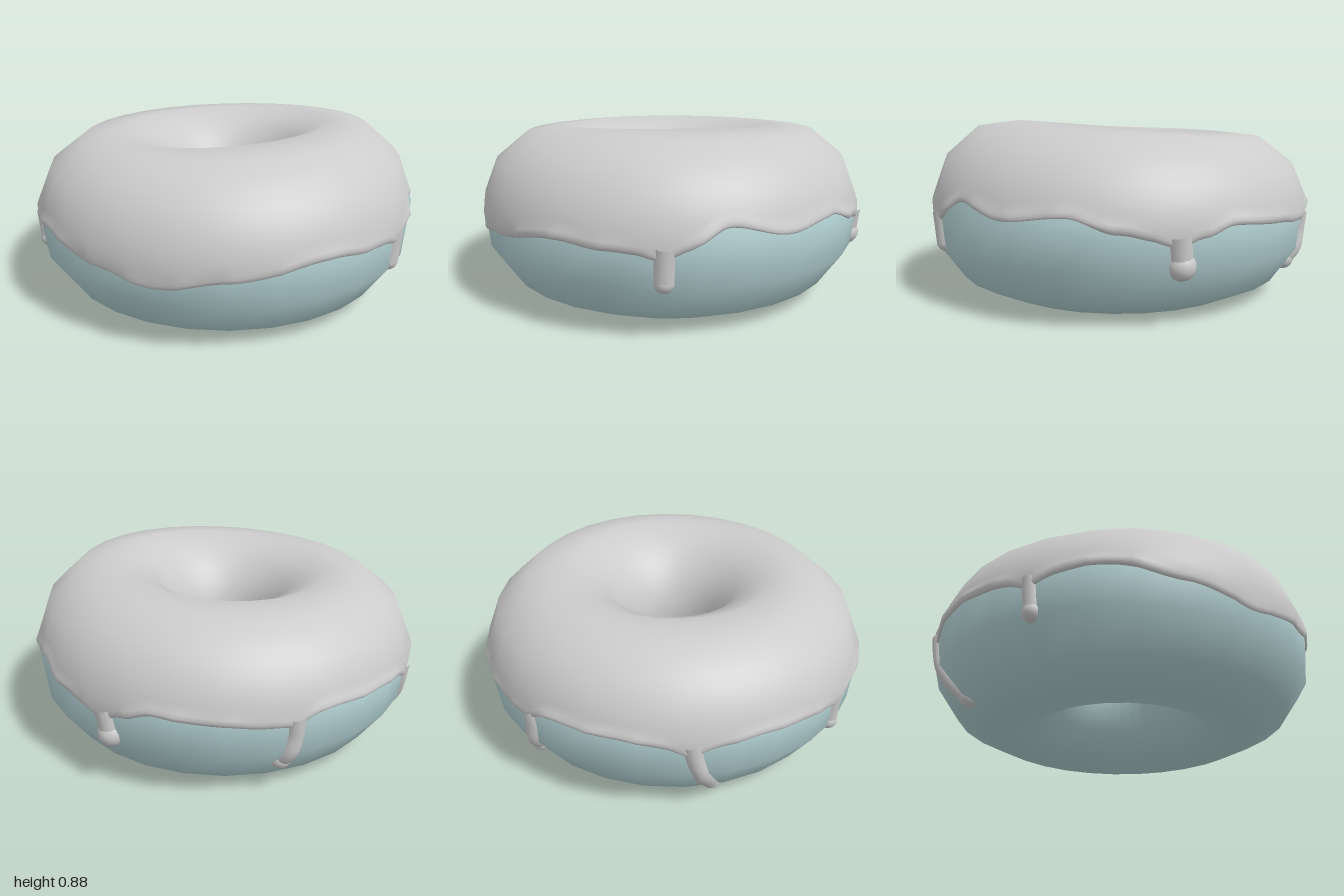
import * as THREE from 'three';

const DEG = Math.PI / 180;
const SIDES = 28, RINGS = 12, PHASE = 9; // dough facets: around the ring, around the section
const RING = 0.608, TUBE = 0.386, MID = 0.4, TALL = 0.405;

const doughMat = new THREE.MeshStandardMaterial({ color: 0xb4d2d4 });
const icingMat = new THREE.MeshStandardMaterial({ color: 0xcccccc });

// Angles in degrees: a runs round the ring from +x towards -z,
// p runs round the section (0 outside, 90 top, 180 hole, 270 bottom).
function corner(a, p) {
  const swell = 0.07 * Math.pow((1 + Math.cos((a + 67) * DEG)) / 2, 1.5);
  const s = Math.sin(p * DEG);
  const r = RING + TUBE * Math.cos(p * DEG);
  return new THREE.Vector3(
    r * Math.cos(a * DEG),
    MID + TALL * s + swell * Math.max(0, s),
    -r * Math.sin(a * DEG)
  );
}

function outward(a, p) {
  const c = Math.cos(p * DEG);
  return new THREE.Vector3(c * Math.cos(a * DEG), Math.sin(p * DEG), -c * Math.sin(a * DEG));
}

// Point on the faceted dough, lifted by a given distance
function onDough(a, p, lift = 0) {
  const da = 360 / SIDES, dp = 360 / RINGS;
  const i = Math.floor(a / da + 1e-6), j = Math.floor((p - PHASE) / dp + 1e-6);
  const u = a / da - i, v = (p - PHASE) / dp - j;
  const at = (m, n) => corner((i + m) * da, PHASE + (j + n) * dp);
  const low = at(0, 0).lerp(at(1, 0), u);
  const high = at(0, 1).lerp(at(1, 1), u);
  return low.lerp(high, v).addScaledVector(outward(a, p), lift);
}

// Band closed around the ring; section(a) lists [p, lift, useRoundNormal]
function ringSurface(columns, section, closed) {
  const pos = [], idx = [], round = [];
  let rows = 0;
  for (let i = 0; i < columns; i++) {
    const a = (i * 360) / columns;
    const list = section(a);
    rows = list.length;
    for (const [p, lift, smooth] of list) {
      pos.push(...onDough(a, p, lift).toArray());
      round.push(smooth ? outward(a, p) : null);
    }
  }
  for (let i = 0; i < columns; i++) {
    const k = (i + 1) % columns;
    for (let j = 0; j < (closed ? rows : rows - 1); j++) {
      const n = (j + 1) % rows;
      const A = i * rows + j, B = k * rows + j, C = k * rows + n, D = i * rows + n;
      idx.push(A, B, C, A, C, D);
    }
  }
  const geo = new THREE.BufferGeometry();
  geo.setAttribute('position', new THREE.Float32BufferAttribute(pos, 3));
  geo.setIndex(idx);
  geo.computeVertexNormals();
  round.forEach((n, i) => n && geo.attributes.normal.setXYZ(i, n.x, n.y, n.z));
  return geo;
}

// Height of the icing's wavy lower edge: [angle, y]
const EDGE = [
  [0, 0.4], [12, 0.41], [20, 0.45], [37, 0.43], [48, 0.41], [66, 0.46], [85, 0.45],
  [104, 0.41], [125, 0.44], [152, 0.41], [172, 0.44], [194, 0.38], [212, 0.33],
  [232, 0.38], [258, 0.44], [270, 0.42], [282, 0.41], [291, 0.43], [303, 0.51],
  [319, 0.46], [337, 0.49], [350, 0.43], [360, 0.4],
];

// Drips: path of [angle, y] down the side, stem radius and bulb radius
const DRIPS = [
  { path: [[5, 0.42], [5.5, 0.35], [6, 0.28]], stem: 0.055, bulb: 0.066 },
  { path: [[57, 0.44], [57, 0.34], [56, 0.25], [54.5, 0.18]], stem: 0.045, bulb: 0.052 },
  { path: [[104, 0.44], [105, 0.34], [107, 0.23], [109.5, 0.13], [112, 0.07]], stem: 0.045, bulb: 0.05 },
  { path: [[152, 0.43], [152.3, 0.34], [152.5, 0.26]], stem: 0.042, bulb: 0.047 },
  { path: [[286.5, 0.44], [286.3, 0.36], [286.2, 0.28]], stem: 0.05, bulb: 0.05 },
];

const heightToAngle = (y) => Math.asin((y - MID) / TALL) / DEG;

function edgeAngle(a) {
  const k = EDGE.findIndex((e, i) => i > 0 && a <= e[0]);
  const [a0, y0] = EDGE[k - 1], [a1, y1] = EDGE[k];
  let y = y0 + (y1 - y0) * THREE.MathUtils.smoothstep(a, a0, a1);
  // flare into the drips
  for (const d of DRIPS) y -= 0.035 * Math.exp(-(((a - d.path[0][0]) / 4) ** 2));
  return heightToAngle(y);
}

// Icing section: rounded lip, outer wall, crown, then down into the hole
function icingSection(a) {
  const e = edgeAngle(a);
  const rows = [[e + 0.5, -0.02], [e - 0.5, 0.002], [e + 0.5, 0.009], [e + 2.5, 0.012], [e + 5, 0.01]];
  for (let i = 1; i <= 5; i++) rows.push([e + 5 + ((39 - e - 5) * i) / 5, 0.008, true]);
  for (let p = 49; p <= 189; p += 10) rows.push([p, 0.008, true]);
  rows.push([191, 0.006], [191.5, -0.01]);
  return rows;
}

function drip({ path, stem, bulb }) {
  const group = new THREE.Group();
  group.name = 'icingDrip';
  const points = path.map(([a, y]) => onDough(a, heightToAngle(y), -0.022));
  const run = new THREE.Mesh(
    new THREE.TubeGeometry(new THREE.CatmullRomCurve3(points), 16, stem, 14), icingMat);
  run.name = 'dripStem';
  const tip = new THREE.Mesh(new THREE.SphereGeometry(bulb, 18, 12), icingMat);
  tip.name = 'dripTip';
  tip.position.copy(points[points.length - 1]);
  group.add(run, tip);
  return group;
}

export function createModel() {
  const model = new THREE.Group();
  model.name = 'icedDoughnut';

  // Ring of dough
  const doughRows = Array.from({ length: RINGS }, (_, j) => [PHASE + (j * 360) / RINGS, 0, true]);
  const dough = new THREE.Mesh(ringSurface(SIDES, () => doughRows, true), doughMat);
  dough.name = 'dough';

  // Icing coat
  const icing = new THREE.Mesh(ringSurface(SIDES * 8, icingSection, false), icingMat);
  icing.name = 'icing';

  model.add(dough, icing, ...DRIPS.map(drip));
  return model;
}
